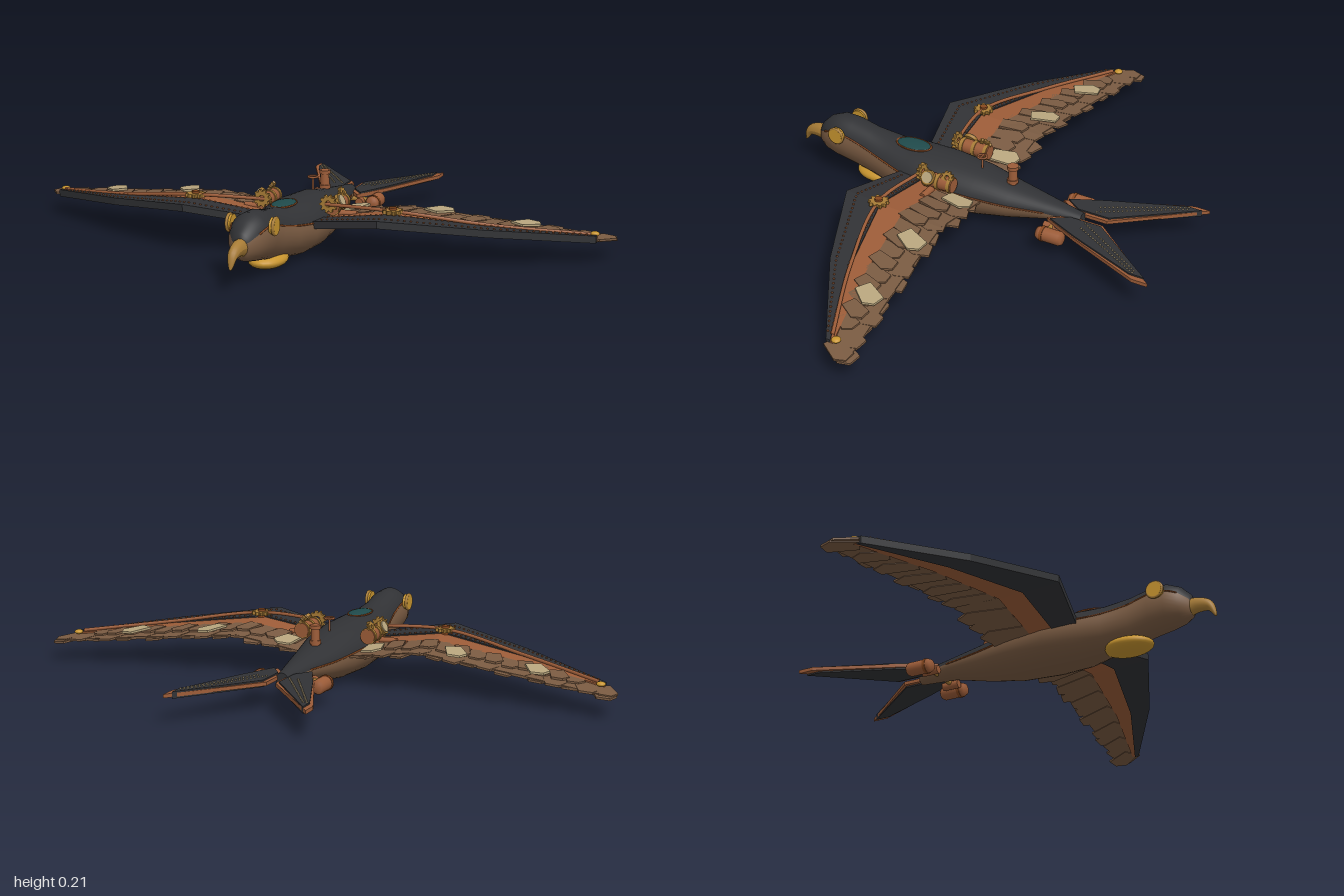
import * as THREE from 'three';
import { mergeGeometries, mergeVertices } from 'three/addons/utils/BufferGeometryUtils.js';

const V = (x, y, z) => new THREE.Vector3(x, y, z);
const mat = (name, color, double) => {
  const m = new THREE.MeshStandardMaterial({ color });
  m.name = name;
  if (double) m.side = THREE.DoubleSide;
  return m;
};
const lerp = THREE.MathUtils.lerp;

// Interpolates column c in a table whose rows start with x
function table(rows, x, c) {
  let i = 0;
  while (i < rows.length - 2 && x > rows[i + 1][0]) i++;
  const a = rows[i], b = rows[i + 1];
  return lerp(a[c], b[c], (x - a[0]) / (b[0] - a[0]));
}

// Wing plan: x, leading edge z, dark band end, copper band end, trailing edge, height
const WING = [
  [0.05, 0.255, 0.18, 0.10, -0.04, 0.10],
  [0.33, 0.325, 0.195, 0.11, -0.03, 0.137],
  [0.64, 0.185, 0.11, 0.055, -0.06, 0.11],
  [0.95, -0.005, -0.02, -0.03, -0.10, 0.083],
];
const wingY = (x, z) => table(WING, Math.min(x, 1), 5) + 0.05 * (z - 0.1);

// Lays a flat geometry onto the bent wing surface
function drape(geo) {
  const p = geo.attributes.position;
  for (let i = 0; i < p.count; i++) p.setY(i, p.getY(i) + wingY(p.getX(i), p.getZ(i)));
  geo.computeVertexNormals();
  return geo;
}

// Flat plate from plan points [x, z], y from bottom to top
function plate(points, bottom, top) {
  const shape = new THREE.Shape(points.map(([x, z]) => new THREE.Vector2(x, -z)));
  return new THREE.ExtrudeGeometry(shape, { depth: top - bottom, bevelEnabled: false })
    .rotateX(-Math.PI / 2).translate(0, bottom, 0);
}

// Wing strip between two columns of the plan, split at each bend
function wingBand(c0, c1, bottom, top) {
  const parts = [];
  for (let i = 0; i < WING.length - 1; i++) {
    const a = WING[i], b = WING[i + 1];
    parts.push(plate([[a[0], a[c0]], [b[0], b[c0]], [b[0], b[c1]], [a[0], a[c1]]], bottom, top));
  }
  return drape(mergeGeometries(parts));
}

function feather(x, z, length, width, yaw, y) {
  const w = width / 2;
  const pts = [[-w * 0.7, 0], [w * 0.7, 0], [w, -length * 0.75], [w * 0.25, -length], [-w * 0.8, -length * 0.86]];
  return drape(plate(pts, y, y + 0.007).rotateY(-yaw).translate(x, 0, z));
}

// Spur gear lying flat, centred on the origin
function gear(r, teeth, depth) {
  const pts = [];
  for (let i = 0; i < teeth * 4; i++) {
    const a = (i / (teeth * 4)) * Math.PI * 2, k = i % 4 < 2 ? r : r * 0.78;
    pts.push(new THREE.Vector2(Math.cos(a) * k, Math.sin(a) * k));
  }
  const shape = new THREE.Shape(pts);
  shape.holes.push(new THREE.Path().absarc(0, 0, r * 0.35, 0, Math.PI * 2, true));
  return new THREE.ExtrudeGeometry(shape, { depth, bevelEnabled: false, curveSegments: 6 })
    .rotateX(-Math.PI / 2).translate(0, -depth / 2, 0);
}

const cyl = (r0, r1, h, n = 20) => new THREE.CylinderGeometry(r0, r1, h, n);
const ball = (rx, ry, rz, x, y, z) =>
  new THREE.SphereGeometry(1, 24, 16).scale(rx, ry, rz).translate(x, y, z);
const studs = (points, r) =>
  mergeGeometries(points.map(p => new THREE.IcosahedronGeometry(r, 0).translate(p.x, p.y, p.z)));
const pipe = (points, r) =>
  new THREE.TubeGeometry(new THREE.CatmullRomCurve3(points, false, 'centripetal'), 32, r, 8, false);

// Body sections: z, bottom, top, half width, angle of the colour seam from the top
const BODY = [
  [-0.37, 0.062, 0.108, 0.022, 1.5], [-0.25, 0.058, 0.125, 0.045, 1.45], [-0.12, 0.028, 0.145, 0.075, 1.4],
  [0.0, 0.006, 0.168, 0.10, 1.35], [0.14, 0.0, 0.178, 0.115, 1.3], [0.25, 0.003, 0.18, 0.108, 1.25],
  [0.34, 0.018, 0.181, 0.085, 1.2], [0.43, 0.035, 0.195, 0.068, 1.15], [0.5, 0.05, 0.212, 0.068, 1.1],
  [0.555, 0.06, 0.214, 0.067, 1.1], [0.6, 0.07, 0.195, 0.053, 1.15], [0.63, 0.085, 0.165, 0.03, 1.2],
  [0.638, 0.124, 0.126, 0.001, 1.2],
];
const bodyCurve = new THREE.CatmullRomCurve3(BODY.map(b => V(b[3], b[1], b[2])), false, 'centripetal');
const bodyPoint = (z, a) => {
  const [b, t, w] = [1, 2, 3].map(c => table(BODY, z, c));
  return V(w * Math.sin(a), (b + t) / 2 + ((t - b) / 2) * Math.cos(a), z);
};
// Lofted shell; span gives the start and end angle at each section
function shell(span) {
  const pos = [], idx = [], n = 20;
  BODY.forEach((s, i) => {
    const [a0, a1] = span(s[4]);
    for (let j = 0; j <= n; j++) pos.push(...bodyPoint(s[0], lerp(a0, a1, j / n)).toArray());
    if (i) for (let j = 0; j < n; j++) {
      const q = i * (n + 1) + j, p = q - n - 1;
      idx.push(p, q, p + 1, q, q + 1, p + 1);
    }
  });
  const g = new THREE.BufferGeometry();
  g.setAttribute('position', new THREE.Float32BufferAttribute(pos, 3));
  g.setIndex(idx);
  g.computeVertexNormals();
  return g;
}

export function createModel() {
  const group = new THREE.Group();
  const dark = mat('charcoal', 0x313235, true), leather = mat('leather', 0x7a5b42, true);
  const copper = mat('copper', 0x9c5c38), brass = mat('brass', 0xa87c36), gold = mat('gold', 0xc8952f);
  const cream = mat('cream', 0xb9a67e), teal = mat('tealGlass', 0x1f4a4b);
  const rust = mat('rustStitch', 0x87481f);

  const add = (name, geo, material) => {
    const m = new THREE.Mesh(geo, material);
    m.name = name;
    group.add(m);
  };
  // Adds a left part and its mirrored right twin
  const pair = (name, geo, material) => {
    add(name + 'Left', geo, material);
    const g = mergeVertices(geo.clone()).scale(-1, 1, 1);
    g.index.array.reverse();
    add(name + 'Right', g, material);
  };

  // Body and head
  add('back', shell(s => [-s, s]), dark);
  add('belly', shell(s => [s, Math.PI * 2 - s]), leather);
  add('bodyEnd', new THREE.CircleGeometry(1, 24).rotateY(Math.PI).scale(0.022, 0.023, 1).translate(0, 0.085, -0.37), dark);
  pair('bodySeam', pipe(BODY.slice(1, 11).map(s => bodyPoint(s[0], s[4])), 0.003), rust);
  add('chestPod', ball(0.06, 0.027, 0.087, 0, 0.031, 0.405), gold);
  pair('eye', cyl(0.025, 0.027, 0.018, 24).rotateZ(-Math.PI / 2).translate(0.072, 0.172, 0.535), gold);
  pair('eyeRim', new THREE.TorusGeometry(0.026, 0.005, 8, 24).rotateY(Math.PI / 2).translate(0.076, 0.172, 0.535), brass);

  // Hooked beak: a tube narrowed towards its tip
  const beakPath = new THREE.CatmullRomCurve3([V(0, 0.118, 0.61), V(0, 0.123, 0.65), V(0, 0.112, 0.69), V(0, 0.07, 0.713)]);
  const beak = new THREE.TubeGeometry(beakPath, 20, 1, 14, false), bp = beak.attributes.position;
  for (let i = 0; i < bp.count; i++) {
    const t = Math.floor(i / 15) / 20, c = beakPath.getPointAt(t), r = 0.031 * Math.sqrt(1 - t * 0.995);
    const d = V().fromBufferAttribute(bp, i).sub(c);
    bp.setXYZ(i, d.x * r * 0.85, c.y + d.y * r, c.z + d.z * r * (1 - t * 0.4));
  }
  beak.computeVertexNormals();
  add('beak', beak, brass);

  // Back window, chimney and valve
  add('backWindow', ball(0.036, 0.008, 0.062, 0, 0.179, 0.27), teal);
  add('windowRim', new THREE.TorusGeometry(1, 0.06, 6, 32).rotateX(Math.PI / 2).scale(0.037, 0.05, 0.064).translate(0, 0.179, 0.27), rust);
  add('chimney', cyl(0.014, 0.016, 0.07).translate(0, 0.17, -0.11), copper);
  for (const y of [0.155, 0.205]) add('chimneyBand', cyl(0.019, 0.019, 0.012).translate(0, y, -0.11), copper);
  add('valveStem', cyl(0.004, 0.004, 0.05, 8).translate(0, 0.188, 0.005), copper);
  add('valveWheel', new THREE.TorusGeometry(0.015, 0.004, 6, 18).rotateX(Math.PI / 2).translate(0, 0.211, 0.005), copper);
  add('valveSpoke', new THREE.BoxGeometry(0.03, 0.005, 0.006).translate(0, 0.211, 0.005), copper);

  // Wing bands
  pair('wingFront', wingBand(1, 2, -0.012, 0.012), dark);
  pair('wingMiddle', wingBand(2, 3, -0.009, 0.008), copper);
  pair('wingBack', wingBand(3, 4, -0.006, 0.002), leather);

  // Two rows of feathers and a few pale ones on top
  const long = [], short = [];
  for (let i = 0; i < 15; i++) {
    const x = 0.13 + i * 0.057, t = i / 14, z = table(WING, x, 3), end = table(WING, x, 4);
    const length = z - end + 0.02 + (i % 3) * 0.01;
    long.push(feather(x, z, length, 0.078, 0.1 + t * 0.42, -0.008 + (i % 2) * 0.004));
    if (i < 13) short.push(feather(x + 0.02, z + 0.005, length * 0.62, 0.066, 0.1 + t * 0.4, 0.001 + (i % 2) * 0.003));
  }
  long.push(feather(0.94, -0.015, 0.1, 0.07, 0.45, -0.004));
  pair('longFeathers', mergeGeometries(long), leather);
  pair('shortFeathers', mergeGeometries(short), leather);
  const pale = [[0.15, 0.055, 0.1, 0.1], [0.42, 0.05, 0.1, 0.45], [0.70, 0.025, 0.095, 0.55]];
  pair('paleFeathers', mergeGeometries(pale.map(([x, z, l, a]) => feather(x, z, l, 0.075, a, 0.011))), cream);

  // Stitch rows along the wing
  const stitches = [];
  for (let i = 0; i < 44; i++) {
    const x = 0.12 + i * 0.0186;
    for (const k of [0.3, 0.92]) {
      const z = lerp(table(WING, x, 1), table(WING, x, 2), k);
      stitches.push(V(x, wingY(x, z) + 0.013, z));
    }
  }
  pair('wingStitches', studs(stitches, 0.004), rust);

  // Drive rod, elbow gear and wing tip cap
  pair('driveRod', pipe([V(0.1, 0.163, 0.17), V(0.34, 0.165, 0.195), V(0.64, 0.125, 0.11), V(0.93, 0.092, -0.015)], 0.006), copper);
  pair('elbowGear', gear(0.034, 10, 0.012).translate(0.34, 0.164, 0.195), brass);
  pair('elbowAxle', cyl(0.013, 0.013, 0.035, 12).translate(0.34, 0.16, 0.195), rust);
  pair('tipCap', ball(0.015, 0.008, 0.015, 0.94, 0.09, -0.035), gold);

  // Shoulder engine: boiler, bands, gears and gauge
  pair('boiler', cyl(0.025, 0.025, 0.11).rotateX(Math.PI / 2).translate(0.12, 0.15, 0.1), copper);
  for (const z of [0.055, 0.1, 0.145])
    pair('boilerBand', cyl(0.028, 0.028, 0.012).rotateX(Math.PI / 2).translate(0.12, 0.15, z), brass);
  pair('engineGear', gear(0.03, 10, 0.012).rotateX(Math.PI / 2).translate(0.115, 0.165, 0.17), brass);
  pair('smallGear', gear(0.023, 9, 0.01).rotateZ(-1.1).translate(0.125, 0.178, 0.065), brass);
  pair('gauge', cyl(0.025, 0.025, 0.012, 24).rotateZ(-1.1).translate(0.14, 0.167, 0.13), brass);
  pair('gaugeFace', cyl(0.019, 0.019, 0.004, 24).rotateZ(-1.1).translate(0.147, 0.1705, 0.13), cream);
  pair('engineArm', cyl(0.012, 0.012, 0.06, 12).rotateZ(Math.PI / 2).translate(0.165, 0.125, 0.12), copper);

  // Forked tail
  const fork = [[0.015, -0.33], [0.06, -0.27], [0.125, -0.4], [0.237, -0.66], [0.237, -0.715], [0.015, -0.45]];
  const inset = fork.map(([x, z]) => [lerp(0.105, x, 0.86), lerp(-0.45, z, 0.92)]);
  pair('tailEdge', plate(fork, 0.084, 0.096), copper);
  pair('tailVane', plate(inset, 0.079, 0.101), dark);
  const tailDots = [];
  for (let i = 0; i < 22; i++) {
    const t = i / 21;
    for (const [x0, x1] of [[0.04, 0.2], [0.07, 0.212]]) tailDots.push(V(lerp(x0, x1, t), 0.102, lerp(-0.4, -0.65, t)));
  }
  pair('tailStitches', studs(tailDots, 0.0035), cream);

  // Tail thrusters
  const pod = [[0, -0.046], [0.018, -0.046], [0.024, -0.036], [0.024, 0.034], [0.019, 0.046], [0, 0.046]];
  pair('thruster', new THREE.LatheGeometry(pod.map(p => new THREE.Vector2(...p)), 20)
    .rotateX(Math.PI / 2).translate(0.113, 0.068, -0.31), copper);
  pair('thrusterBand', cyl(0.026, 0.026, 0.01).rotateX(Math.PI / 2).translate(0.113, 0.068, -0.285), rust);
  pair('thrusterPipe', cyl(0.014, 0.014, 0.06, 14).rotateX(Math.PI / 2).translate(0.068, 0.07, -0.295), copper);
  pair('thrusterStrut', cyl(0.008, 0.008, 0.09, 10).rotateZ(Math.PI / 2).translate(0.065, 0.075, -0.295), brass);
  return group;
}
